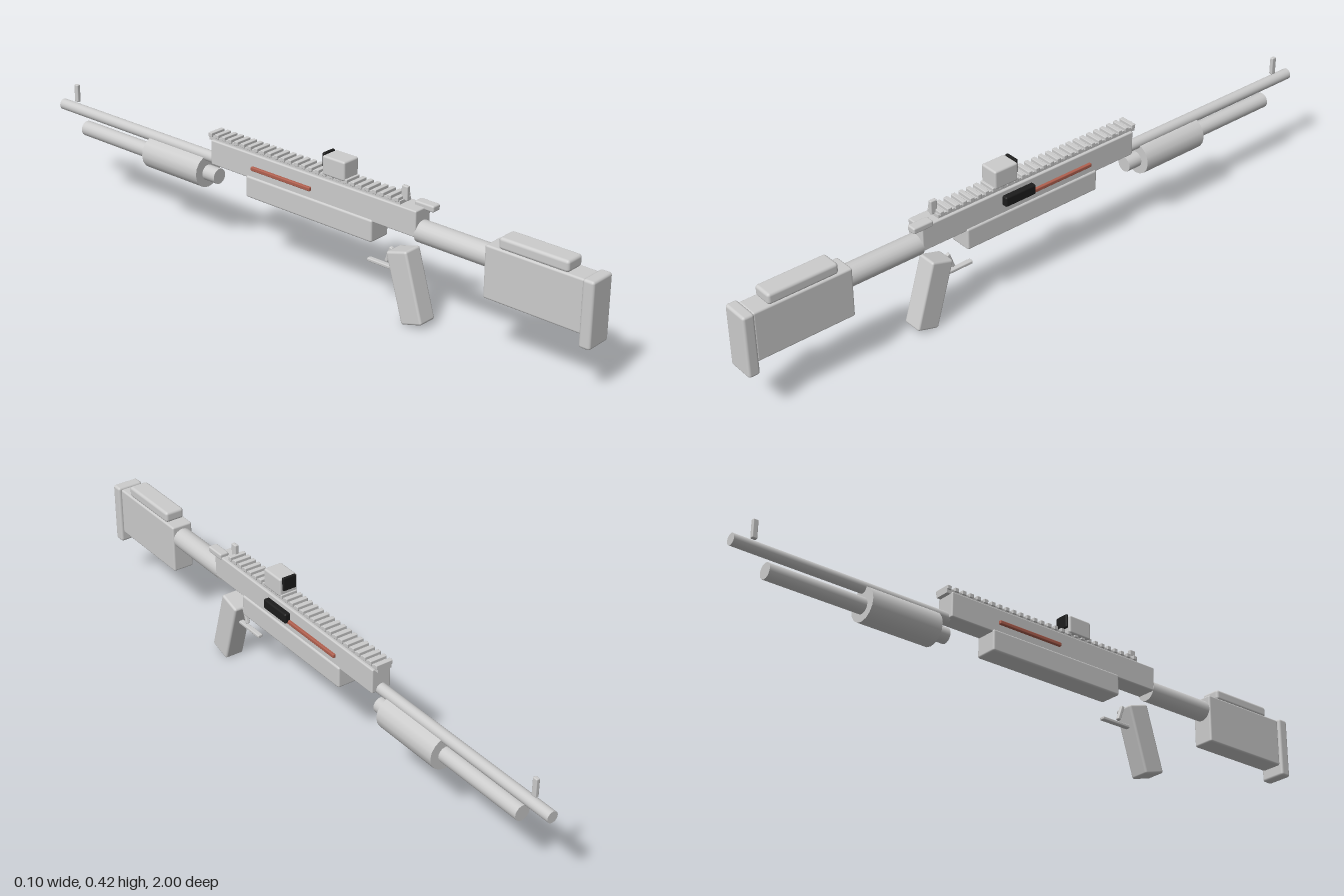
import * as THREE from 'three';
import { RoundedBoxGeometry } from 'three/addons/geometries/RoundedBoxGeometry.js';

const material = (name, color) => {
  const m = new THREE.MeshStandardMaterial({ color });
  m.name = name;
  return m;
};

export function createModel() {
  const grey = material('light grey', 0xcccccc);
  const black = material('black', 0x1c1c1c);
  const red = material('rust red', 0xb0604f);
  const model = new THREE.Group();
  model.name = 'longGun';

  const add = (name, geometry, mat, x, y, z, parent = model) => {
    const mesh = new THREE.Mesh(geometry, mat);
    mesh.name = name;
    mesh.position.set(x, y, z);
    parent.add(mesh);
    return mesh;
  };
  // Rounded box given by its extents on each axis
  const block = (name, [x0, x1], [y0, y1], [z0, z1], r, mat = grey, parent = model) =>
    add(name, new RoundedBoxGeometry(x1 - x0, y1 - y0, z1 - z0, 2, r), mat,
      (x0 + x1) / 2, (y0 + y1) / 2, (z0 + z1) / 2, parent);
  // Cylinder lying along z
  const tube = (name, r, y, z0, z1, sides = 20) =>
    add(name, new THREE.CylinderGeometry(r, r, z1 - z0, sides).rotateX(Math.PI / 2), grey,
      0, y, (z0 + z1) / 2);

  // Shoulder stock
  block('buttPad', [-0.042, 0.042], [0.145, 0.335], [0.965, 1], 0.008);
  block('stock', [-0.034, 0.034], [0.178, 0.33], [0.663, 0.966], 0.006);
  block('cheekRest', [-0.031, 0.031], [0.328, 0.362], [0.702, 0.917], 0.009);
  tube('stockTube', 0.032, 0.286, 0.43, 0.67);

  // Receiver
  block('receiver', [-0.031, 0.031], [0.276, 0.352], [-0.322, 0.435], 0.004);
  block('lowerReceiver', [-0.036, 0.036], [0.217, 0.283], [-0.18, 0.288], 0.006);
  block('sideStripe', [-0.039, 0.039], [0.304, 0.316], [-0.158, 0.066], 0.003, red);
  block('boltHandle', [0.028, 0.048], [0.307, 0.338], [0.055, 0.162], 0.005, black);
  block('safetyLever', [0.005, 0.035], [0.344, 0.363], [0.4, 0.465], 0.005);

  // Toothed top rail
  const rail = new THREE.Group();
  rail.name = 'topRail';
  model.add(rail);
  add('railBase', new THREE.BoxGeometry(0.046, 0.014, 0.71), grey, 0, 0.355, 0.02, rail);
  const teeth = 28;
  for (let i = 0; i < teeth; i++) {
    const z = -0.328 + (i * 0.692) / (teeth - 1);
    block('railTooth', [-0.027, 0.027], [0.358, 0.371], [z - 0.007, z + 0.007], 0.002, grey, rail);
  }

  // Sights
  block('sightBody', [-0.03, 0.03], [0.364, 0.421], [0.105, 0.185], 0.006);
  block('sightLens', [-0.022, 0.022], [0.383, 0.425], [0.098, 0.107], 0.003, black);
  block('rearSight', [-0.006, 0.006], [0.358, 0.4], [0.364, 0.385], 0.003);
  block('frontSight', [-0.006, 0.006], [0.307, 0.363], [-0.942, -0.926], 0.003);

  // Barrel, magazine tube and fore grip
  tube('barrel', 0.017, 0.283, -1, -0.315);
  tube('magazineTube', 0.0235, 0.229, -0.895, -0.32);
  tube('foreGrip', 0.05, 0.233, -0.595, -0.367, 16);

  // Slanted pistol grip, trigger and guard bar
  const grip = block('pistolGrip', [-0.031, 0.031], [0.009, 0.219], [0.362, 0.435], 0.007);
  grip.rotation.x = -0.287;
  const trigger = block('trigger', [-0.006, 0.006], [0.158, 0.208], [0.318, 0.329], 0.003);
  trigger.rotation.x = 0.35;
  block('guardBar', [-0.008, 0.008], [0.142, 0.152], [0.25, 0.36], 0.003);

  return model;
}
